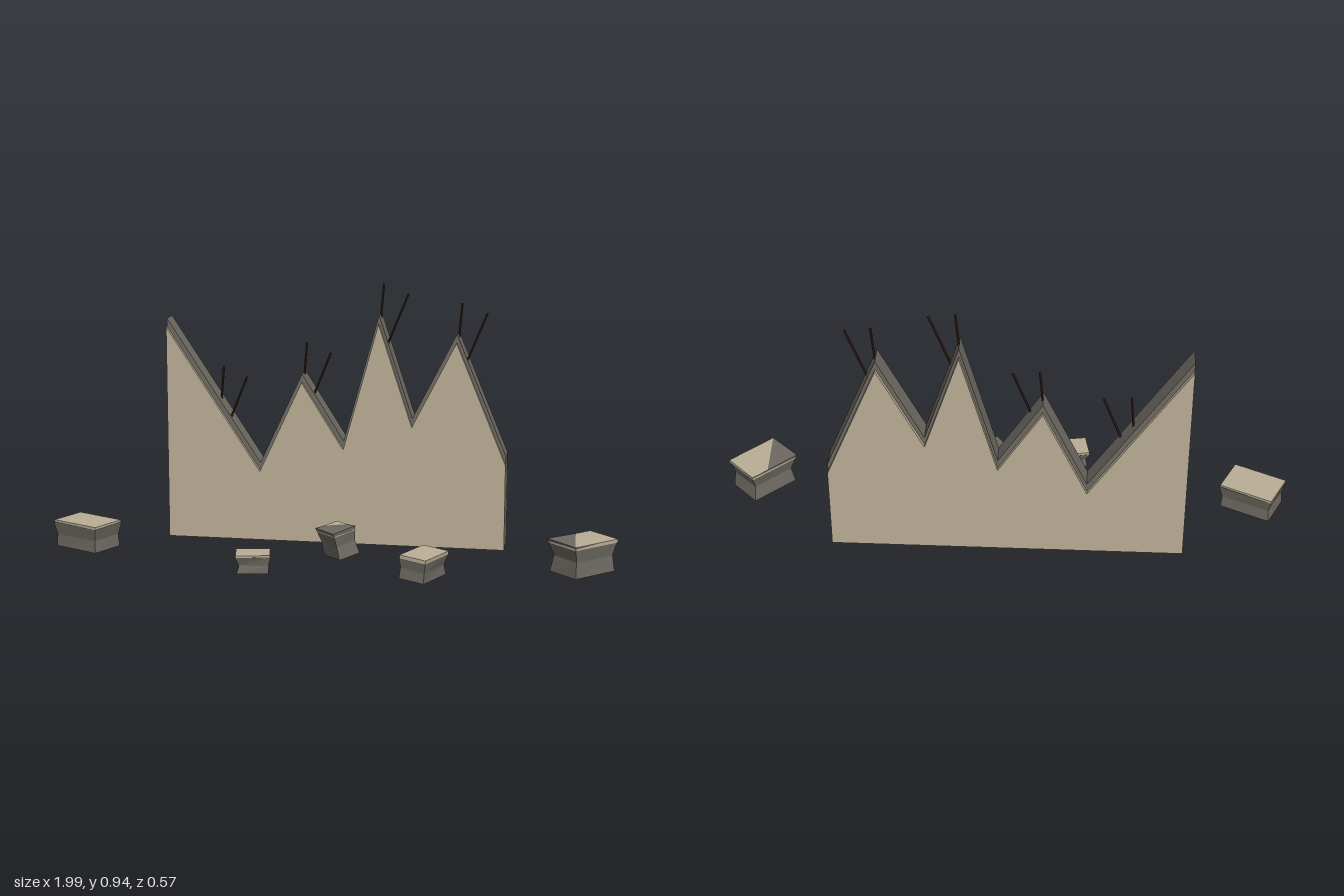
import * as THREE from 'three';

const mat = (color) => new THREE.MeshStandardMaterial({ color, flatShading: true });
const stoneMat = mat(0x6e6a62);
const plasterMat = mat(0xbaae96);
const rebarMat = mat(0x38221c);

// Jagged top edge of the broken wall, left to right
const LEFT = -0.63, RIGHT = 0.588, BASE = 0.012;
const EDGE = [
  [LEFT, 0.81], [-0.293, 0.295], [-0.14, 0.623], [0.01, 0.385],
  [0.135, 0.84], [0.255, 0.475], [0.41, 0.78], [RIGHT, 0.35],
];

// Extruded wall layer between two depths, its jagged edge lowered by drop
function wallLayer(name, zBack, zFront, drop, material) {
  const shape = new THREE.Shape();
  shape.moveTo(RIGHT, BASE);
  [...EDGE].reverse().forEach(([x, y]) => shape.lineTo(x, y - drop));
  shape.lineTo(LEFT, BASE);
  shape.closePath();
  const geo = new THREE.ExtrudeGeometry(shape, { depth: zFront - zBack, bevelEnabled: false });
  const mesh = new THREE.Mesh(geo, material);
  mesh.position.z = zBack;
  mesh.name = name;
  return mesh;
}

// Thin rod between two points
function rod(name, a, b) {
  const from = new THREE.Vector3(...a), to = new THREE.Vector3(...b);
  const dir = to.clone().sub(from);
  const mesh = new THREE.Mesh(new THREE.CylinderGeometry(0.0042, 0.0042, dir.length(), 6), rebarMat);
  mesh.position.copy(from).add(to).multiplyScalar(0.5);
  mesh.quaternion.setFromUnitVectors(new THREE.Vector3(0, 1, 0), dir.normalize());
  mesh.name = name;
  return mesh;
}

// Repeatable offset in -1..1 from a position, so shared corners stay joined
function jitter(x, y, z, seed) {
  const s = Math.sin(x * 127.1 + y * 311.7 + z * 74.7 + seed * 19.3) * 43758.5453;
  return (s - Math.floor(s)) * 2 - 1;
}

// Broken block: a box pinched at mid height with a plaster skin on top
function rubble({ pos, size: [w, h, d], rot, seed, skin }) {
  const group = new THREE.Group();
  group.name = 'rubbleChunk';
  const geo = new THREE.BoxGeometry(w, h, d, 1, 2, 1);
  const p = geo.attributes.position;
  for (let i = 0; i < p.count; i++) {
    const sx = Math.sign(p.getX(i)), sz = Math.sign(p.getZ(i));
    const level = Math.round((p.getY(i) / h) * 2);
    const k = jitter(sx, level, sz, seed);
    const scale = level === 0 ? 0.84 + 0.08 * k : level > 0 ? 1 + 0.03 * k : 0.93 + 0.03 * k;
    p.setX(i, p.getX(i) * scale);
    p.setZ(i, p.getZ(i) * scale);
    if (level > 0) p.setY(i, p.getY(i) + 0.004 * k);
  }
  geo.computeVertexNormals();
  const body = new THREE.Mesh(geo, stoneMat);
  body.name = 'rubbleStone';
  const slab = new THREE.Mesh(new THREE.BoxGeometry(w * 0.99, 0.012, d * 0.99), plasterMat);
  slab.position.y = h / 2 + skin;
  slab.name = 'rubblePlaster';
  group.add(body, slab);
  group.position.set(...pos);
  group.rotation.set(rot[0], rot[1], rot[2], 'ZXY');
  return group;
}

export function createModel() {
  const model = new THREE.Group();
  model.name = 'ruinedWall';

  // Stone core with a plaster face on each side
  model.add(
    wallLayer('wallCore', -0.274, -0.2, 0, stoneMat),
    wallLayer('plasterFront', -0.2, -0.185, 0.03, plasterMat),
    wallLayer('plasterBack', -0.289, -0.274, 0.03, plasterMat),
  );

  // Pairs of bare reinforcing rods in the broken edge
  const anchors = [[-0.444, 0.528], [-0.14, 0.623], [0.135, 0.84], [0.412, 0.778]];
  for (const [x, y] of anchors) {
    model.add(
      rod('rebarUpright', [x - 0.004, y - 0.08, -0.237], [x + 0.012, y + 0.107, -0.237]),
      rod('rebarLeaning', [x + 0.01, y - 0.15, -0.222], [x + 0.103, y + 0.077, -0.206]),
    );
  }

  // Fallen chunks on the ground
  const chunks = [
    { pos: [-0.883, 0.055, -0.003], size: [0.196, 0.086, 0.137], rot: [0, -0.45, 0], seed: 1, skin: 0.003 },
    { pos: [-0.235, 0.04, 0.215], size: [0.118, 0.056, 0.092], rot: [0, 0.18, 0], seed: 2, skin: 0.003 },
    { pos: [0.04, 0.098, 0.097], size: [0.125, 0.095, 0.086], rot: [0.08, -0.9, 0.2], seed: 3, skin: -0.005 },
    { pos: [0.345, 0.048, 0.185], size: [0.1, 0.074, 0.17], rot: [0, -0.37, -0.08], seed: 4, skin: 0.003 },
    { pos: [0.873, 0.068, 0.032], size: [0.195, 0.112, 0.14], rot: [0, 0.785, 0], seed: 5, skin: -0.005 },
  ];
  chunks.forEach((c) => model.add(rubble(c)));

  return model;
}
